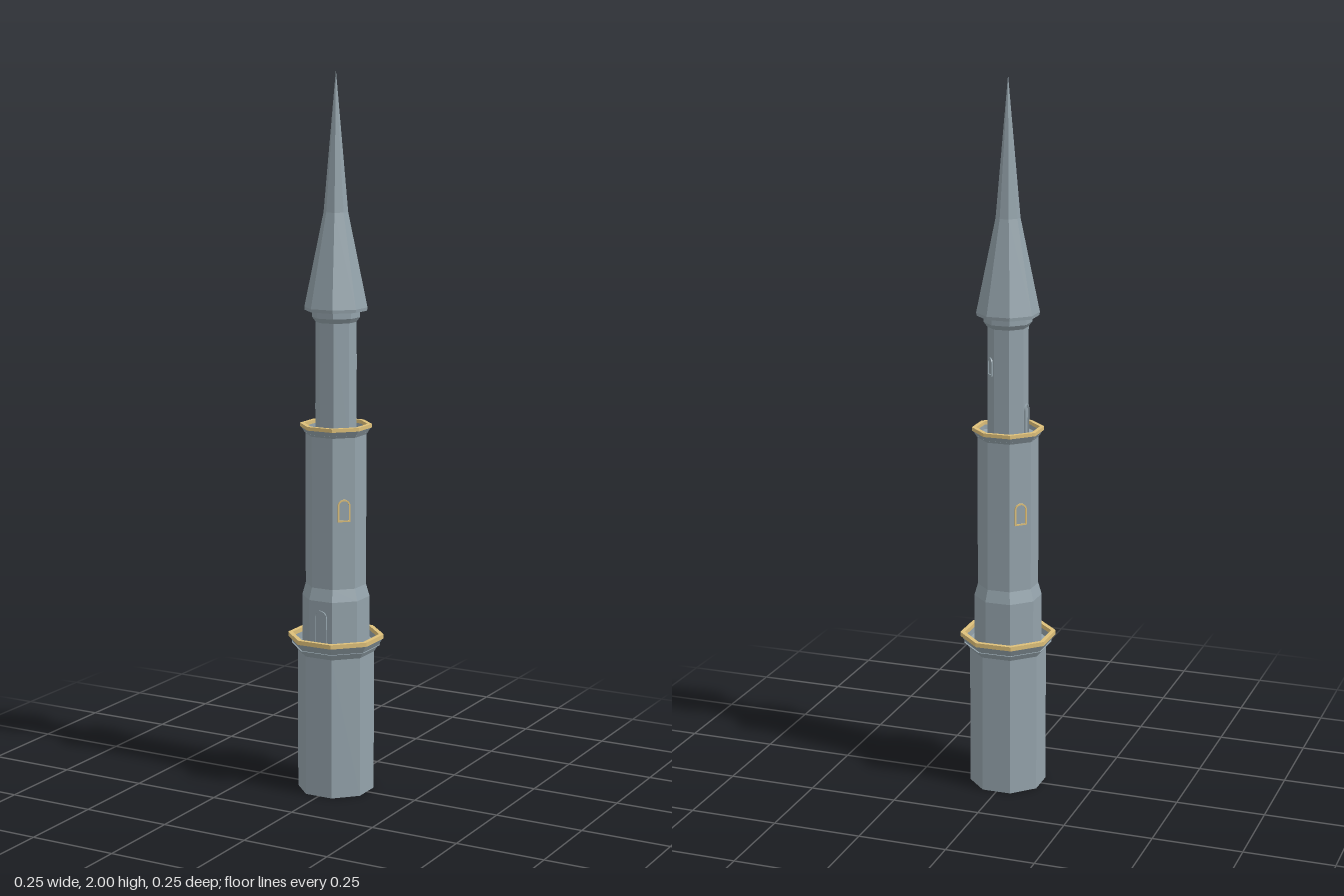
import * as THREE from 'three';

const stone = new THREE.MeshStandardMaterial({ color: 0x94a3ab, flatShading: true });
const gold = new THREE.MeshStandardMaterial({ color: 0xdec07a, flatShading: true });

// Octagonal solid from [apothem, y] pairs, with flat sides facing the axes
function octagon(name, profile, material = stone) {
  const points = profile.map(([a, y]) => new THREE.Vector2(a / Math.cos(Math.PI / 8), y));
  const mesh = new THREE.Mesh(new THREE.LatheGeometry(points, 8, Math.PI / 8), material);
  mesh.name = name;
  return mesh;
}

// Round-headed outline standing on y = 0
function arch(width, height, PathType = THREE.Shape, inset = 0) {
  const r = width / 2 - inset;
  const path = new PathType();
  path.moveTo(-r, inset);
  path.lineTo(r, inset);
  path.lineTo(r, height - width / 2);
  path.absarc(0, height - width / 2, r, 0, Math.PI, false);
  path.lineTo(-r, inset);
  return path;
}

// Arched panel with a raised surround on the wall facing the given angle
function opening(name, degrees, apothem, y, width, height, surround) {
  const group = new THREE.Group();
  group.name = name;
  const add = (part, shape, depth, material) => {
    const geometry = new THREE.ExtrudeGeometry(shape, { depth, bevelEnabled: false, curveSegments: 8 });
    const mesh = new THREE.Mesh(geometry, material);
    mesh.name = part;
    mesh.position.set(0, y, apothem - 0.002);
    group.add(mesh);
  };
  const frame = arch(width, height);
  frame.holes.push(arch(width, height, THREE.Path, 0.004));
  add('surround', frame, 0.006, surround);
  add('panel', arch(width - 0.006, height - 0.003), 0.003, stone);
  group.rotation.y = THREE.MathUtils.degToRad(degrees);
  return group;
}

// Gold coping around a balcony parapet
function coping(name, outer, inner, bottom, top) {
  return octagon(name, [[inner, bottom], [outer, bottom], [outer, top], [inner, top], [inner, bottom]], gold);
}

export function createModel() {
  const tower = new THREE.Group();
  tower.name = 'tower';

  // Shafts, each lower one ending in a flared parapet around a sunken floor
  tower.add(
    octagon('lowerShaft', [[0, 0], [0.099, 0], [0.099, 0.397], [0.122, 0.436], [0.114, 0.436], [0.114, 0.415], [0, 0.415]]),
    coping('lowerCoping', 0.124, 0.112, 0.435, 0.447),
    octagon('middleShaft', [[0.087, 0.41], [0.087, 0.556], [0.078, 0.59], [0.078, 1.012], [0.09, 1.032], [0.082, 1.032], [0.082, 1.018], [0, 1.018]]),
    coping('upperCoping', 0.092, 0.081, 1.031, 1.041),
    octagon('upperShaft', [[0.052, 1.01], [0.052, 1.322], [0.061, 1.335], [0.061, 1.357]]),
    octagon('spire', [[0.058, 1.353], [0.079, 1.353], [0.08, 1.362], [0.031, 1.62], [0, 2]])
  );

  // Balcony doors
  tower.add(
    opening('lowerDoor', 0, 0.087, 0.415, 0.04, 0.115, stone),
    opening('upperDoor', 270, 0.052, 1.018, 0.032, 0.092, stone)
  );

  // Windows
  tower.add(
    opening('middleWindowFront', 45, 0.078, 0.78, 0.036, 0.062, gold),
    opening('middleWindowBack', 225, 0.078, 0.78, 0.036, 0.062, gold),
    opening('upperWindow', 135, 0.052, 1.19, 0.026, 0.05, stone)
  );
  return tower;
}
